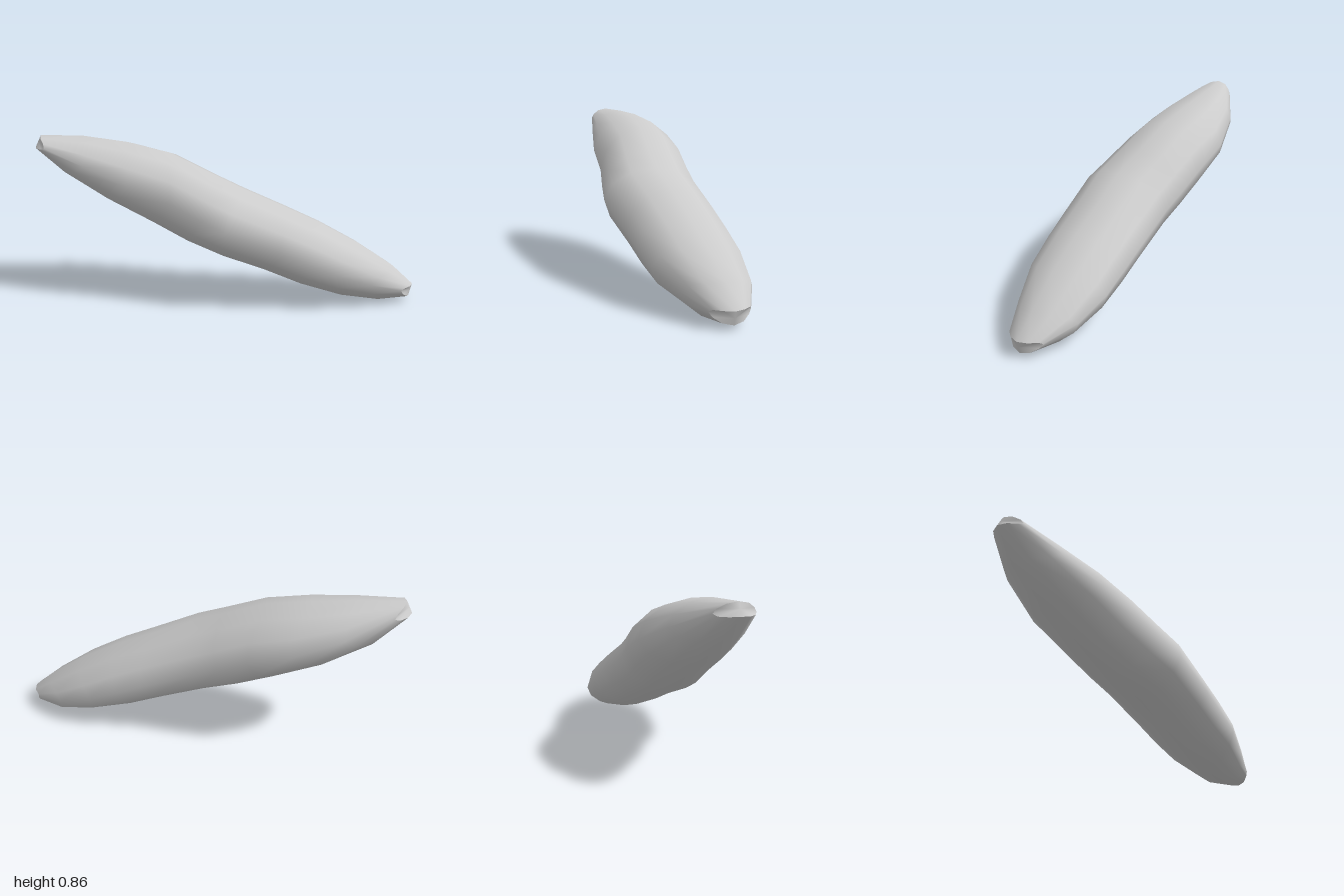
import * as THREE from 'three';

const SIDES = 12;

// Cross-sections along the body: top x,y | bottom x,y | side x | back z, front z
const SECTIONS = [
  [-0.97, 0.865, -1.0, 0.805, -0.925, -0.085, 0.11],
  [-0.76, 0.86, -0.87, 0.68, -0.71, -0.205, 0.155],
  [-0.53, 0.83, -0.64, 0.54, -0.48, -0.27, 0.2],
  [-0.3, 0.78, -0.4, 0.42, -0.26, -0.265, 0.215],
  [-0.07, 0.675, -0.2, 0.325, -0.1, -0.252, 0.245],
  [0.1, 0.6, 0.0, 0.25, 0.03, -0.245, 0.265],
  [0.3, 0.51, 0.2, 0.18, 0.3, -0.255, 0.23],
  [0.5, 0.42, 0.4, 0.1, 0.44, -0.26, 0.21],
  [0.71, 0.305, 0.63, 0.035, 0.59, -0.265, 0.185],
  [0.89, 0.185, 0.83, 0.005, 0.77, -0.235, 0.11],
  [0.995, 0.09, 0.98, 0.025, 0.93, -0.16, 0.037],
];

// Tilted elliptical ring whose sides are bowed along the body's slope
function ring([xt, yt, xb, yb, xs, zb, zf]) {
  const cx = (xt + xb) / 2, cy = (yt + yb) / 2, cz = (zb + zf) / 2;
  const points = [];
  for (let j = 0; j < SIDES; j++) {
    const a = (j / SIDES) * Math.PI * 2;
    const s = Math.sin(a), c = Math.cos(a);
    const bow = (xs - cx) * c * c;
    points.push([
      cx + (s * (xt - xb)) / 2 + bow,
      cy + (s * (yt - yb)) / 2 - 0.39 * bow,
      cz + (c * (zf - zb)) / 2,
    ]);
  }
  return points;
}

function makeMesh(name, points, index, material) {
  const geometry = new THREE.BufferGeometry();
  geometry.setAttribute('position', new THREE.Float32BufferAttribute(points.flat(), 3));
  geometry.setIndex(index);
  geometry.computeVertexNormals();
  const mesh = new THREE.Mesh(geometry, material);
  mesh.name = name;
  return mesh;
}

export function createModel() {
  const group = new THREE.Group();
  group.name = 'curvedPod';
  const material = new THREE.MeshStandardMaterial({ color: 0xcccccc });
  const rings = SECTIONS.map(ring);

  // Smooth body lofted through the rings
  const index = [];
  for (let i = 0; i < rings.length - 1; i++) {
    for (let j = 0; j < SIDES; j++) {
      const k = (j + 1) % SIDES;
      const a = i * SIDES + j, b = a + SIDES;
      const c = (i + 1) * SIDES + k, d = i * SIDES + k;
      index.push(a, b, c, a, c, d);
    }
  }
  group.add(makeMesh('body', rings.flat(), index, material));

  // Small end caps with a crisp edge
  const addCap = (name, section, points, flip) => {
    const [xt, yt, xb, yb, , zb, zf] = section;
    const centre = [(xt + xb) / 2, (yt + yb) / 2, (zb + zf) / 2];
    const fan = [];
    for (let j = 0; j < SIDES; j++) {
      const k = (j + 1) % SIDES;
      fan.push(SIDES, ...(flip ? [k, j] : [j, k]));
    }
    group.add(makeMesh(name, [...points, centre], fan, material));
  };
  addCap('upperTip', SECTIONS[0], rings[0], false);
  addCap('lowerTip', SECTIONS.at(-1), rings.at(-1), true);

  return group;
}
